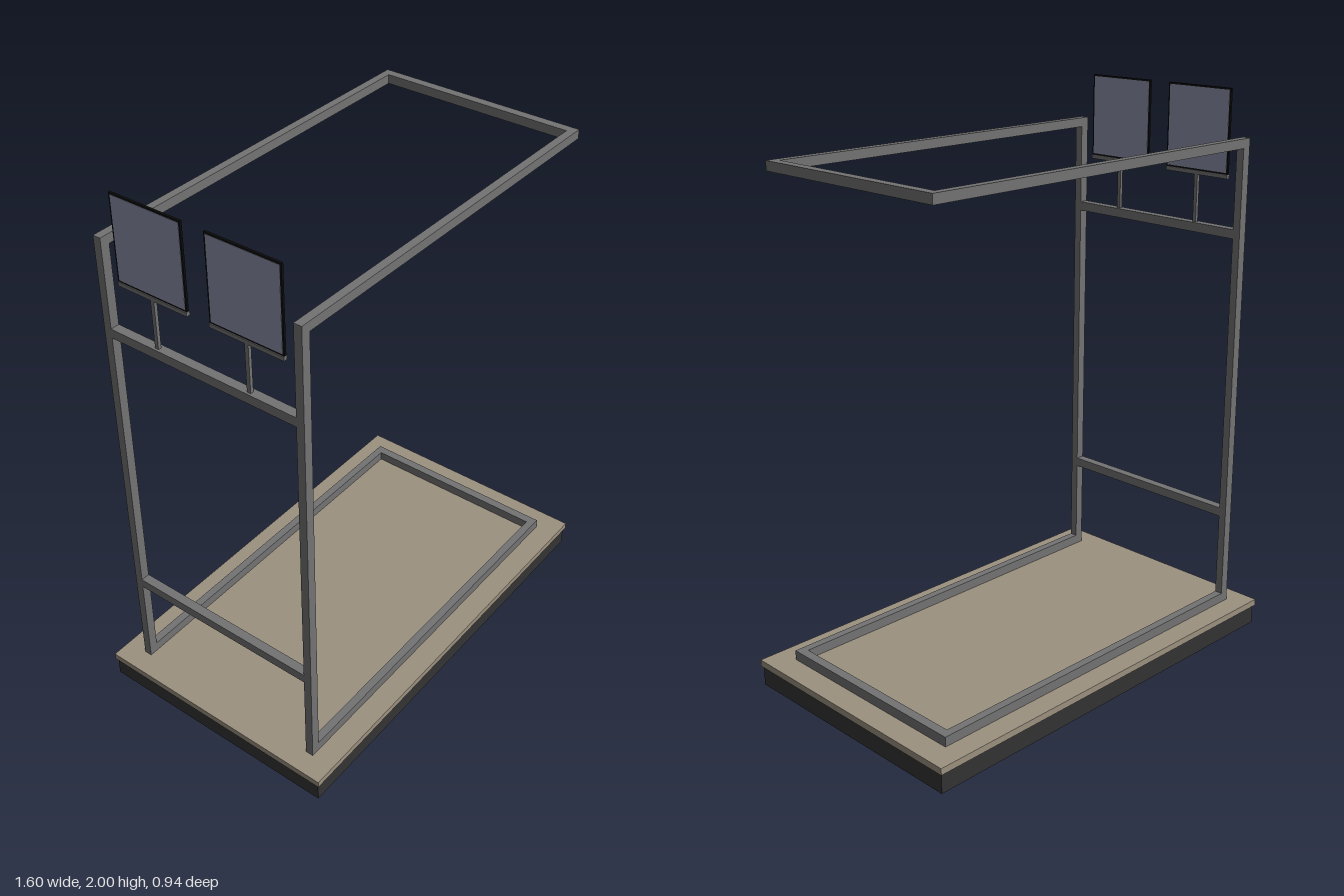
import * as THREE from 'three';

function material(name, color, side = THREE.FrontSide) {
  const m = new THREE.MeshStandardMaterial({ color, side });
  m.name = name;
  return m;
}

export function createModel() {
  const group = new THREE.Group();
  group.name = 'frameStand';
  const steel = material('steelGrey', 0x737373);
  const board = material('boardBeige', 0x9c917f);
  const dark = material('plinthDark', 0x333333);
  const black = material('edgeBlack', 0x0c0c0e);
  const glass = material('panelBlue', 0x8c92a9);

  // Box given by its minimum and maximum on each axis
  const box = (name, mat, [x0, x1], [y0, y1], [z0, z1], parent = group) => {
    const mesh = new THREE.Mesh(new THREE.BoxGeometry(x1 - x0, y1 - y0, z1 - z0), mat);
    mesh.position.set((x0 + x1) / 2, (y0 + y1) / 2, (z0 + z1) / 2);
    mesh.name = name;
    parent.add(mesh);
    return mesh;
  };

  // Platform board on a hollow plinth, open underneath
  box('platformBoard', board, [-0.8, 0.8], [0.072, 0.096], [-0.47, 0.47]);
  const wall = 0.01, px = 0.793, pz = 0.463;
  for (const s of [-1, 1]) {
    const c = s * (pz - wall / 2), e = s * (px - wall / 2);
    box('plinthLongWall', dark, [-px, px], [0, 0.072], [c - wall / 2, c + wall / 2]);
    box('plinthEndWall', dark, [e - wall / 2, e + wall / 2], [0, 0.072], [-pz + wall, pz - wall]);
  }

  // Tubular frame: two posts, with a three-sided loop at floor and top
  const z0 = -0.391, z1 = 0.386, w = 0.029, postX = [-0.724, -0.691];
  for (const [a, b] of [[z0, z0 + w], [z1 - w, z1]]) {
    box('post', steel, postX, [0.096, 1.838], [a, b]);
    box('floorRail', steel, [postX[1], 0.711], [0.096, 0.131], [a, b]);
    box('topRail', steel, [postX[1], 0.72], [1.805, 1.838], [a, b]);
  }
  box('floorEndRail', steel, [0.678, 0.711], [0.096, 0.131], [z0 + w, z1 - w]);
  box('topEndRail', steel, [0.687, 0.72], [1.805, 1.838], [z0 + w, z1 - w]);

  // Cross bars between the posts
  for (const y of [0.44, 1.488]) {
    box('crossBar', steel, postX, [y, y + 0.033], [z0 + w, z1 - w]);
  }

  // Two upright panels, each on a stem and a narrow ledge
  const x = -0.71;
  for (const zc of [0.178, -0.18]) {
    const panel = new THREE.Group();
    panel.name = 'panel';
    group.add(panel);
    const h = 0.136;
    box('panelStem', steel, [x - 0.006, x + 0.006], [1.521, 1.692], [zc - 0.007, zc + 0.007], panel);
    box('panelLedge', steel, [x - 0.007, x + 0.007], [1.69, 1.704], [zc - h, zc + h], panel);
    box('panelEdge', black, [x - 0.004, x + 0.004], [1.704, 2], [zc - h, zc + h], panel);
    for (const s of [-1, 1]) {
      const f = x + s * 0.004;
      box('panelFace', glass, [f - 0.001, f + 0.001], [1.71, 1.994], [zc - h + 0.006, zc + h - 0.006], panel);
    }
  }
  return group;
}
